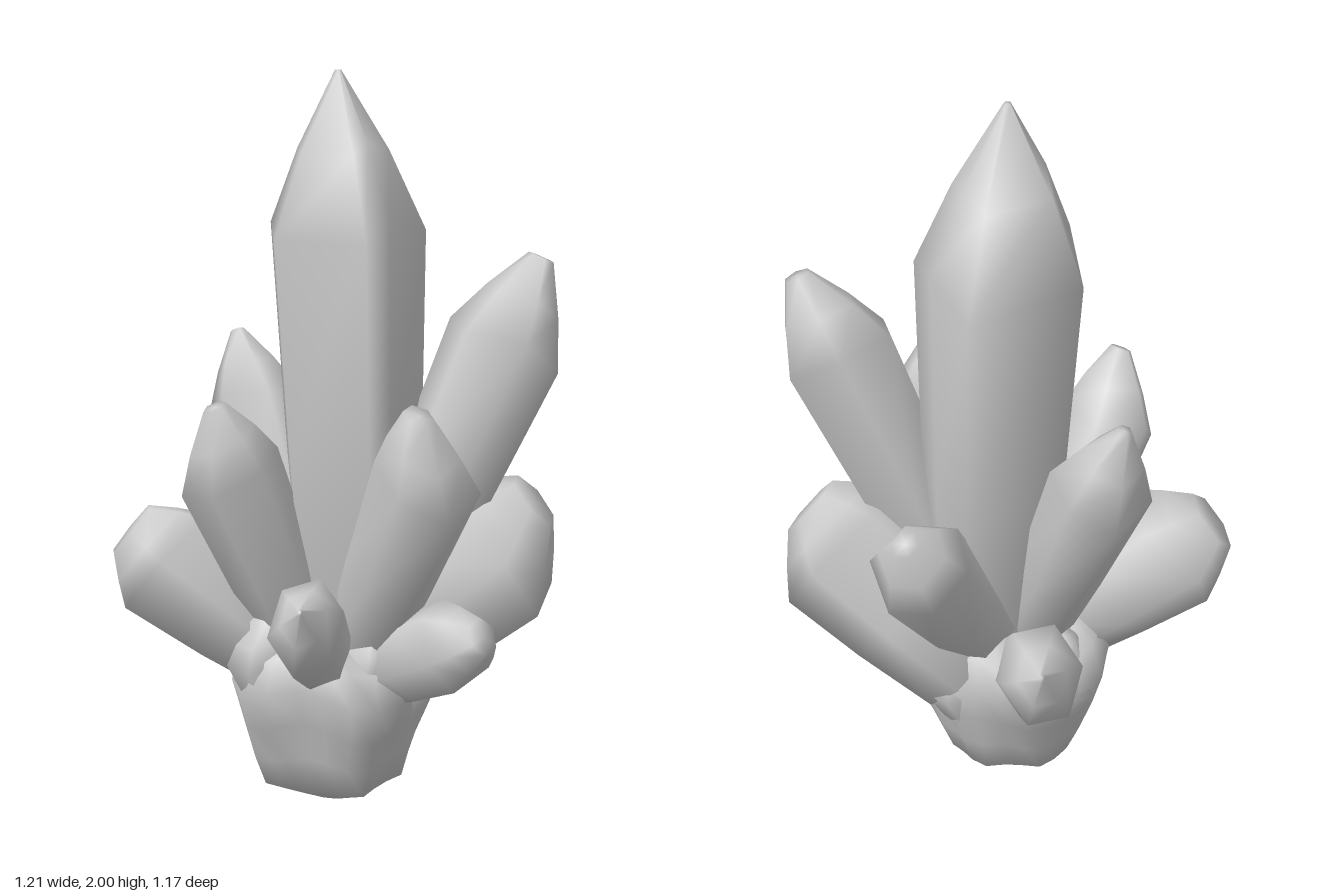
import * as THREE from 'three';
import { mergeVertices } from 'three/addons/utils/BufferGeometryUtils.js';

const material = new THREE.MeshStandardMaterial({ color: 0xcccccc });
const V = (p) => new THREE.Vector3(...p);

// Regular hexagon cross-section, half widths ru (sideways) and rv (up/down)
const hexagon = (ru, rv, turn) => Array.from({ length: 6 }, (_, i) => {
  const t = turn + (i / 6) * Math.PI * 2;
  return [Math.cos(t) * ru, Math.sin(t) * rv];
});

// Crystal: rings from root to shoulder, then a faceted point; blunt = size of the end facet
function crystalGeometry({ root, shoulder, tip, ru, rv = ru, blunt = 0.12, turn = 0, taper = 0.65, ref = [0, 1, 0], outline = hexagon(ru, rv, turn) }) {
  const a = V(root), b = V(shoulder), c = V(tip);
  const axis = b.clone().sub(a).normalize();
  const u = new THREE.Vector3().crossVectors(V(ref), axis).normalize();
  const v = new THREE.Vector3().crossVectors(axis, u);
  const sides = outline.length;
  const rings = [
    [a, taper, 0], [a.clone().lerp(b, 0.5), (1 + taper) / 2 + 0.03, 0],
    [b, 1, 0.16], [b.clone().lerp(c, 0.5), 0.57 + blunt * 0.4, 0.08], [c, blunt, 0],
  ];
  const pos = [], index = [];
  rings.forEach(([centre, scale, stagger], k) => {
    outline.forEach(([s, t], i) => {
      const p = centre.clone()
        .addScaledVector(u, s * scale)
        .addScaledVector(v, t * scale)
        .addScaledVector(axis, Math.sin(i * 2.4 + turn * 5) * stagger * ru);
      pos.push(p.x, p.y, p.z);
      if (k) {
        const j = (i + 1) % sides, lo = (k - 1) * sides, hi = k * sides;
        index.push(lo + i, lo + j, hi + j, lo + i, hi + j, hi + i);
      }
    });
  });
  // Close both ends
  const last = (rings.length - 1) * sides, n = rings.length * sides;
  pos.push(a.x, a.y, a.z, c.x, c.y, c.z);
  for (let i = 0; i < sides; i++) {
    const j = (i + 1) % sides;
    index.push(n, j, i, n + 1, last + i, last + j);
  }
  const g = new THREE.BufferGeometry();
  g.setAttribute('position', new THREE.Float32BufferAttribute(pos, 3));
  g.setIndex(index);
  g.computeVertexNormals();
  return g;
}

// Lumpy rock: a lathe whose radius and height ripple with the angle
function rockGeometry() {
  const profile = [[0, 0.005], [0.1, 0.03], [0.2, 0.08], [0.235, 0.17], [0.27, 0.27], [0.305, 0.37], [0.28, 0.46], [0.2, 0.52], [0, 0.5]];
  let g = new THREE.LatheGeometry(profile.map(([r, y]) => new THREE.Vector2(r, y)), 24);
  g.deleteAttribute('uv');
  g.deleteAttribute('normal');
  g = mergeVertices(g, 1e-4);
  const p = g.attributes.position;
  for (let i = 0; i < p.count; i++) {
    const x = p.getX(i), y = p.getY(i), z = p.getZ(i);
    const t = Math.atan2(z, x), h = Math.min(1, Math.hypot(x, z) / 0.2);
    const s = 1 + h * (0.05 * Math.sin(5 * t + 1 + y * 4) + 0.04 * Math.sin(8 * t - y * 9));
    p.setXYZ(i, x * s * 0.94, y + h * Math.min(y, 0.3) * 0.1 * Math.sin(4 * t + 0.6), z * s * 1.04);
  }
  g.computeVertexNormals();
  return g;
}

// Uneven seven-sided section of the main crystal: [x, -z] about its axis
const mainOutline = [[0.225, 0.02], [0.165, 0.16], [0.055, 0.29], [-0.215, 0.17], [-0.15, -0.285], [0.085, -0.28], [0.145, -0.23]];

const crystals = {
  mainCrystal: { root: [0.06, 0.35, -0.03], shoulder: [0.015, 1.57, -0.09], tip: [0, 2, -0.12], ru: 0.235, blunt: 0.04, taper: 0.7, ref: [0, 0, -1], outline: mainOutline },
  tallLeftCrystal: { root: [0.1, 0.45, 0], shoulder: [0.46, 1.29, -0.04], tip: [0.55, 1.51, -0.075], ru: 0.16, rv: 0.165, blunt: 0.22, turn: 0.2 },
  broadLeftCrystal: { root: [0.1, 0.39, -0.12], shoulder: [0.465, 0.715, -0.06], tip: [0.545, 0.84, -0.09], ru: 0.245, rv: 0.215, blunt: 0.4, turn: 0.1, taper: 0.78 },
  broadRightCrystal: { root: [-0.1, 0.4, 0.03], shoulder: [-0.455, 0.69, 0.065], tip: [-0.55, 0.77, 0.055], ru: 0.205, rv: 0.185, blunt: 0.48, turn: 0.2, taper: 0.65 },
  frontLeftCrystal: { root: [0.06, 0.4, 0.08], shoulder: [0.265, 0.98, 0.34], tip: [0.25, 1.16, 0.4], ru: 0.135, rv: 0.15, blunt: 0.3, turn: 0.4 },
  frontRightCrystal: { root: [-0.05, 0.4, 0.07], shoulder: [-0.25, 0.98, 0.245], tip: [-0.275, 1.16, 0.32], ru: 0.14, blunt: 0.22, turn: 0.1 },
  backRightCrystal: { root: [-0.04, 0.4, -0.06], shoulder: [-0.255, 1.06, -0.32], tip: [-0.315, 1.26, -0.385], ru: 0.135, blunt: 0.15, turn: 0.3 },
  lowBackCrystal: { root: [-0.03, 0.34, -0.1], shoulder: [-0.12, 0.57, -0.45], tip: [-0.13, 0.65, -0.58], ru: 0.11, rv: 0.14, blunt: 0.08, turn: 0.1, taper: 0.7 },
  backLeftCrystal: { root: [0.03, 0.4, -0.07], shoulder: [0.195, 0.85, -0.41], tip: [0.22, 0.98, -0.51], ru: 0.14, blunt: 0.28, turn: 0.2, taper: 0.7 },
  lowFrontCrystal: { root: [0, 0.42, 0.12], shoulder: [-0.03, 0.62, 0.43], tip: [-0.03, 0.7, 0.58], ru: 0.1, rv: 0.135, blunt: 0.06, turn: 0.3 },
  smallFrontLeftCrystal: { root: [0.1, 0.39, 0.08], shoulder: [0.335, 0.54, 0.29], tip: [0.415, 0.585, 0.365], ru: 0.12, rv: 0.125, blunt: 0.4, turn: 0.3, taper: 0.8 },
};

// Knobs along the rock's rim: root, shoulder, tip, radius
const knobs = [
  [[-0.09, 0.22, 0.09], [-0.18, 0.47, 0.17], [-0.18, 0.57, 0.18], 0.1],
  [[0.06, 0.22, 0.1], [0.11, 0.45, 0.18], [0.13, 0.56, 0.19], 0.09],
  [[0.1, 0.18, 0.05], [0.18, 0.38, 0.1], [0.19, 0.49, 0.11], 0.1],
  [[0.07, 0.18, -0.1], [0.13, 0.38, -0.19], [0.14, 0.48, -0.2], 0.11],
  [[-0.08, 0.18, -0.09], [-0.15, 0.38, -0.16], [-0.16, 0.51, -0.17], 0.11],
];

export function createModel() {
  const group = new THREE.Group();
  const add = (name, geometry) => {
    const mesh = new THREE.Mesh(geometry, material);
    mesh.name = name;
    group.add(mesh);
  };
  add('rockBase', rockGeometry());
  for (const [name, spec] of Object.entries(crystals)) add(name, crystalGeometry(spec));
  knobs.forEach(([root, shoulder, tip, ru], i) =>
    add('rockKnob' + (i + 1), crystalGeometry({ root, shoulder, tip, ru, blunt: 0.35, turn: i, taper: 0.8 })));
  return group;
}
